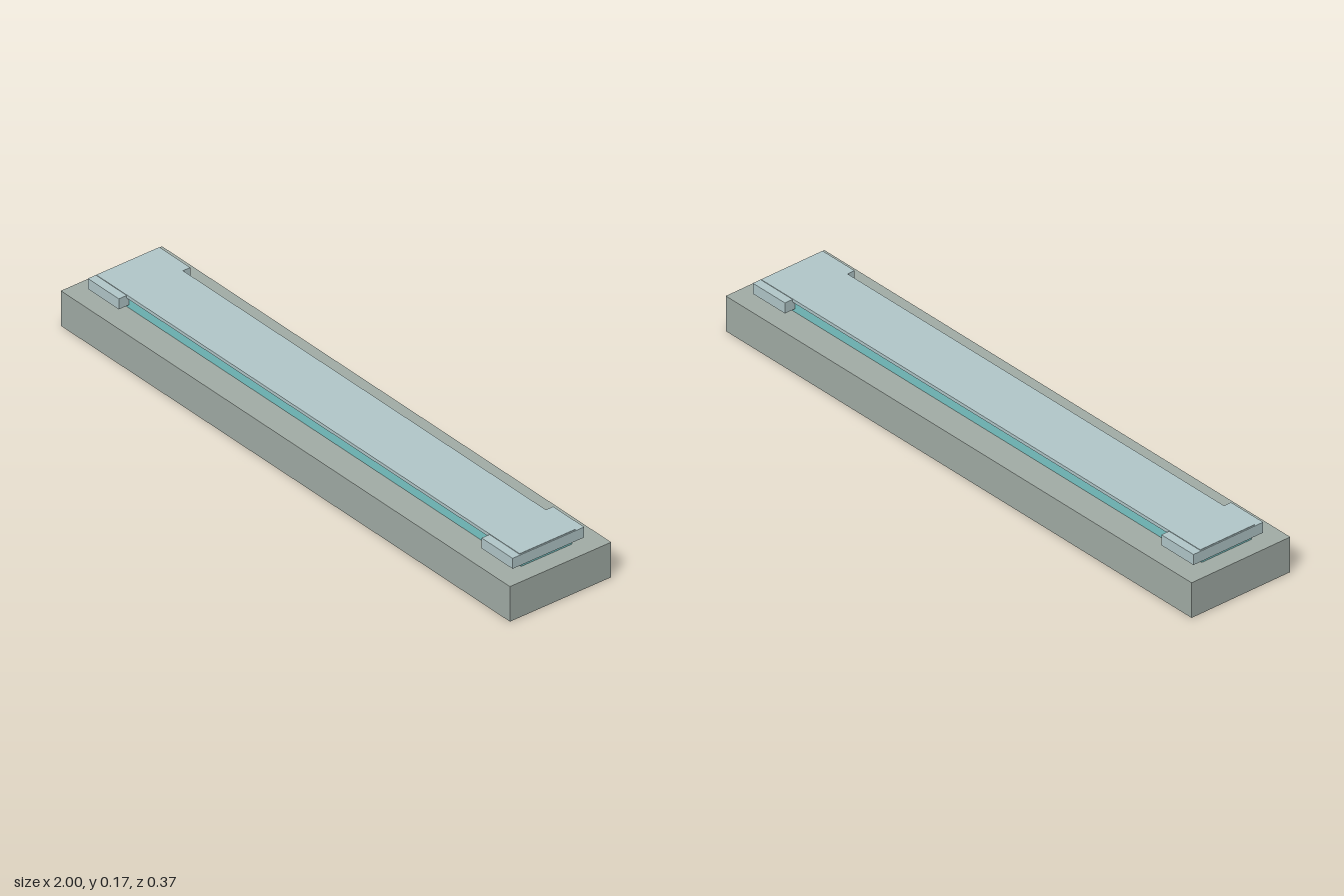
import * as THREE from 'three';

const material = (name, color) => {
  const m = new THREE.MeshStandardMaterial({ color });
  m.name = name;
  return m;
};

export function createModel() {
  const group = new THREE.Group();
  const stone = material('grey green stone', 0xa3aea7);
  const teal = material('teal', 0x7ac8c8);
  const pale = material('pale blue', 0xb3c9cb);

  // Box spanning y0..y1, centred on z = 0
  const block = (name, mat, width, y0, y1, depth, x = 0) => {
    const mesh = new THREE.Mesh(new THREE.BoxGeometry(width, y1 - y0, depth), mat);
    mesh.name = name;
    mesh.position.set(x, (y0 + y1) / 2, 0);
    group.add(mesh);
  };

  block('base', stone, 2, 0, 0.117, 0.368);
  block('core', teal, 1.876, 0.117, 0.154, 0.185);
  block('topSlab', pale, 1.884, 0.154, 0.165, 0.203);

  // Wider caps at both ends
  for (const side of [-1, 1]) {
    block(side > 0 ? 'leftEndCap' : 'rightEndCap', pale, 0.138, 0.128, 0.163, 0.26, side * 0.877);
  }
  return group;
}
